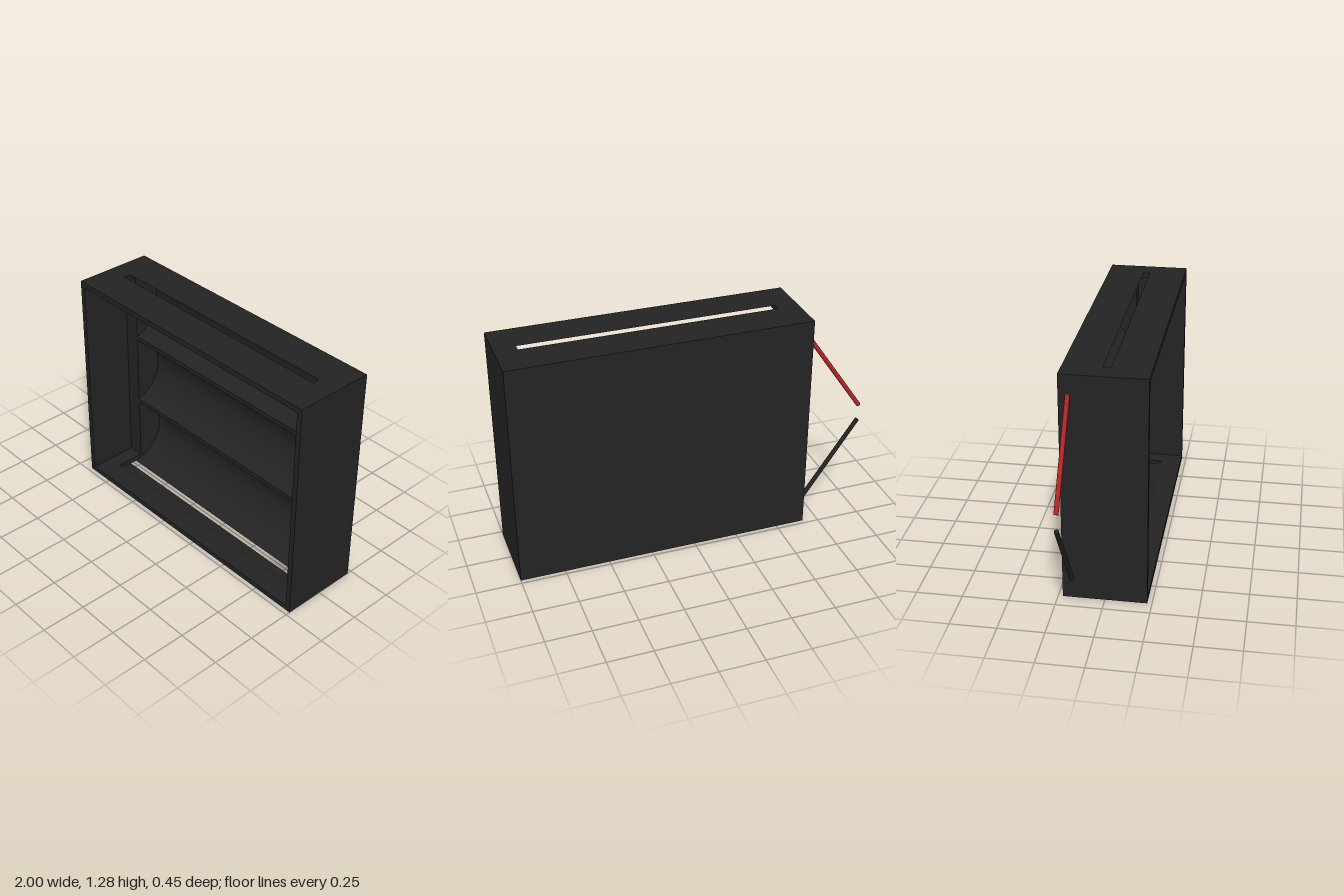
import * as THREE from 'three';
import { toCreasedNormals } from 'three/addons/utils/BufferGeometryUtils.js';

const H = 1.28, D = 0.225, T = 0.03;      // case height, half depth, wall thickness
const LEDGE = 0.06;                       // distance of the inner block's front behind the middle
const CX = 0.1675, HALF = 0.8325, BAY = 0.711; // case centre, half width, half channel length
const R = 0.211, CENTRES = [0.21, 0.64, 1.07]; // round battery channels
const SLIT = Math.sqrt(R * R - 0.21 * 0.21);   // half width where a channel breaks the outer wall

const dark = new THREE.MeshStandardMaterial({ color: 0x232323 });
const red = new THREE.MeshStandardMaterial({ color: 0xb02424 });

// Profile points are [u, y], u pointing to the back; extruded along x from x0 to x1
function extrudeX(points, x0, x1, name) {
  const shape = new THREE.Shape(points.map(([u, y]) => new THREE.Vector2(u, y)));
  let geo = new THREE.ExtrudeGeometry(shape, { depth: x1 - x0, bevelEnabled: false });
  geo.rotateY(Math.PI / 2);
  geo.translate(x0, 0, 0);
  geo = toCreasedNormals(geo, 0.4);
  const mesh = new THREE.Mesh(geo, dark);
  mesh.name = name;
  return mesh;
}

function arc(cy, from, to, n = 24) {
  const pts = [];
  for (let i = 0; i <= n; i++) {
    const a = from + (to - from) * i / n;
    pts.push([R * Math.cos(a), cy + R * Math.sin(a)]);
  }
  return pts;
}

function wire(name, y0, y1, material) {
  const path = new THREE.LineCurve3(new THREE.Vector3(-0.99, y0, -0.178), new THREE.Vector3(-0.6, y1, -0.178));
  const dir = path.v2.clone().sub(path.v1);
  const mesh = new THREE.Mesh(new THREE.CylinderGeometry(0.0125, 0.0125, dir.length(), 16), material);
  mesh.position.copy(path.getPoint(0.5));
  mesh.quaternion.setFromUnitVectors(new THREE.Vector3(0, 1, 0), dir.normalize());
  mesh.name = name;
  return mesh;
}

export function createModel() {
  const group = new THREE.Group();
  group.name = 'batteryHolder';

  // Side walls and the solid ledges at the channel ends
  const wall = [[-D, 0], [D, 0], [D, H], [-D, H]];
  const ledge = [[-D, 0], [D, 0], [D, H], [-D, H], [-D, H - T], [LEDGE, H - T], [LEDGE, T], [-D, T]];
  for (const [s, side] of [[-1, 'right'], [1, 'left']]) {
    const span = (a, b) => [CX + s * a, CX + s * b].sort((p, q) => p - q);
    group.add(extrudeX(wall, ...span(HALF - T, HALF), side + 'Wall'));
    group.add(extrudeX(ledge, ...span(BAY, HALF - T), side + 'Ledge'));
  }

  // Back block with three channels; the outer two cut through top and bottom
  const x0 = CX - BAY, x1 = CX + BAY;
  const open = Math.acos(LEDGE / R), cut = Math.atan2(0.21, SLIT);
  group.add(extrudeX([
    [D, 0], [D, H],
    ...arc(CENTRES[2], cut, -open),
    ...arc(CENTRES[1], open, -open),
    ...arc(CENTRES[0], open, -cut),
  ], x0, x1, 'channelBlock'));

  // Front lips of the bottom and top walls, hollowed by the same channels
  const lipEnd = Math.PI + Math.asin((0.21 - T) / R);
  const lip = [[-D, 0], ...arc(CENTRES[0], Math.PI + cut, lipEnd, 8), [-D, T]];
  group.add(extrudeX(lip, x0, x1, 'bottomLip'));
  group.add(extrudeX(lip.map(([u, y]) => [u, H - y]).reverse(), x0, x1, 'topLip'));

  // Two straight leads leaving the right wall
  group.add(wire('redWire', 0.687, 1.25, red));
  group.add(wire('blackWire', 0.593, 0.03, dark));
  return group;
}
